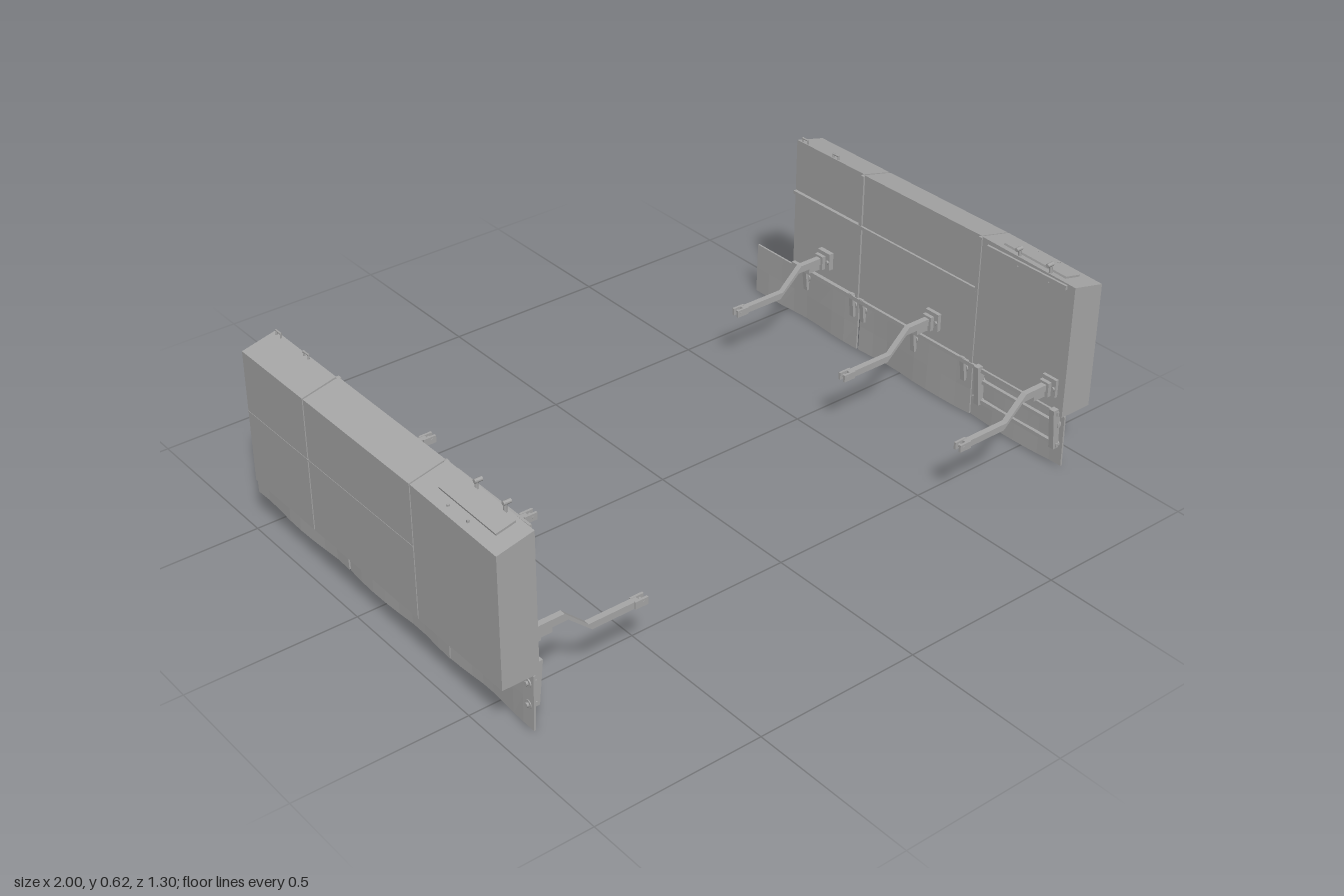
import * as THREE from 'three';

const grey = new THREE.MeshStandardMaterial({ color: 0xa6a6a6 });
grey.name = 'plain grey';

// Builds one side; s is +1 for the left assembly and -1 for the right
function createSide(s) {
  const side = new THREE.Group();
  side.name = s > 0 ? 'leftArmour' : 'rightArmour';

  const add = (name, geo, x = 0, y = 0, z = 0) => {
    const m = new THREE.Mesh(geo, grey);
    m.name = name;
    m.position.set(s * x, y, z);
    side.add(m);
    return m;
  };
  const box = (name, x0, x1, y0, y1, z0, z1) =>
    add(name, new THREE.BoxGeometry(x1 - x0, y1 - y0, z1 - z0), (x0 + x1) / 2, (y0 + y1) / 2, (z0 + z1) / 2);
  // Outline in x and y, extruded along z
  const prism = (name, pts, z0, z1) => {
    const shape = new THREE.Shape(pts.map(([x, y]) => new THREE.Vector2(s * x, y)));
    const geo = new THREE.ExtrudeGeometry(shape, { depth: z1 - z0, bevelEnabled: false });
    return add(name, geo, 0, 0, z0);
  };
  const rod = (name, r, len, x, y, z, axis = 'x', sides = 12) => {
    const geo = new THREE.CylinderGeometry(r, r, len, sides);
    if (axis === 'x') geo.rotateZ(Math.PI / 2);
    if (axis === 'z') geo.rotateX(Math.PI / 2);
    return add(name, geo, x, y, z);
  };

  // Large box panels with a sloping top
  const panels = [['frontPanel', 0.3, 0.65, 0.892], ['middlePanel', -0.179, 0.296, 0.894], ['rearPanel', -0.477, -0.184, 0.898]];
  for (const [name, z0, z1, inner] of panels) {
    const panel = prism(name, [[inner, 0.178], [1, 0.178], [1, 0.575], [inner, 0.6]], z0, z1);
    if (name === 'frontPanel') {
      const p = panel.geometry.attributes.position;
      for (let i = 0; i < p.count; i++) {
        if (p.getY(i) > 0.5) p.setY(i, p.getY(i) - 0.03 * p.getZ(i));
      }
      panel.geometry.computeVertexNormals();
    }
  }
  // Seams and inner stiffeners
  box('outerSeam', 0.998, 1.001, 0.391, 0.395, -0.477, 0.296);
  box('innerStiffener', 0.887, 0.9, 0.425, 0.435, -0.475, 0.296);
  for (const z of [0.298, -0.1815]) box('jointStrip', 0.888, 0.9, 0.18, 0.598, z - 0.006, z + 0.006);
  box('lowerRail', 0.885, 0.9, 0.18, 0.193, -0.47, 0.64);

  // Thin, gently bent skirt plates
  const skirts = [['frontSkirt', 0.296, 0.65, 0.01, 0.175], ['middleSkirt', -0.176, 0.292, 0.008, 0.172], ['rearSkirt', -0.65, -0.185, 0.006, 0.17]];
  for (const [name, z0, z1, y0, y1] of skirts) {
    const geo = new THREE.BoxGeometry(0.006, y1 - y0, z1 - z0, 1, 2, 8);
    const p = geo.attributes.position;
    for (let i = 0; i < p.count; i++) {
      const low = 0.5 - p.getY(i) / (y1 - y0);
      const wave = Math.sin((p.getZ(i) + z0) * 17) * 0.004 * low;
      p.setX(i, p.getX(i) + s * wave);
      p.setY(i, p.getY(i) + Math.abs(wave) * 0.5);
    }
    const flat = geo.toNonIndexed();
    flat.computeVertexNormals();
    add(name, flat, 0.907, (y0 + y1) / 2, (z0 + z1) / 2);
  }
  // Skirt bolts, hanger straps and the front mounting rails
  for (const z of [0.628, 0.335]) {
    for (const y of [0.145, 0.08]) {
      rod('skirtWasher', 0.013, 0.014, 0.907, y, z);
      rod('skirtBolt', 0.007, 0.026, 0.907, y, z, 'x', 6);
    }
    prism('skirtBracket', [[0.872, 0.2], [0.9, 0.2], [0.904, 0.07], [0.885, 0.07]], z - 0.009, z + 0.009);
  }
  for (const y of [0.145, 0.08]) box('skirtRail', 0.893, 0.904, y - 0.006, y + 0.006, 0.31, 0.64);
  for (const z of [0.265, 0.058, -0.16, -0.205, -0.415]) {
    rod('hangerWasher', 0.013, 0.014, 0.907, 0.155, z);
    rod('hangerBolt', 0.007, 0.026, 0.907, 0.155, z, 'x', 6);
    prism('hangerStrap', [[0.886, 0.195], [0.902, 0.195], [0.904, 0.115], [0.895, 0.115]], z - 0.008, z + 0.008);
  }

  // Cranked support arms with a mounting flange and forked end
  const crank = [[0.9, 0.277], [0.785, 0.277], [0.715, 0.212], [0.56, 0.212], [0.56, 0.192], [0.705, 0.192], [0.775, 0.255], [0.9, 0.255]];
  for (const z of [0.6, 0.14, -0.325]) {
    prism('supportArm', crank, z - 0.009, z + 0.009);
    box('armFlange', 0.882, 0.9, 0.235, 0.29, z - 0.026, z + 0.026);
    box('armCollar', 0.862, 0.874, 0.24, 0.284, z - 0.017, z + 0.017);
    box('armGusset', 0.82, 0.89, 0.238, 0.257, z - 0.006, z + 0.006);
    for (const d of [-1, 1]) {
      box('armFork', 0.535, 0.575, 0.191, 0.213, z + d * 0.0095 - 0.0035, z + d * 0.0095 + 0.0035);
      rod('flangeBolt', 0.006, 0.008, 0.88, 0.262, z + d * 0.019, 'x', 6);
    }
    rod('forkPin', 0.005, 0.028, 0.548, 0.202, z, 'z');
  }

  // Lifting hooks, inner handrail and top plate on the front panel
  for (const z of [0.55, 0.435]) {
    rod('liftingHook', 0.005, 0.05, 0.902, 0.595, z, 'y', 8);
    rod('hookTip', 0.006, 0.022, 0.897, 0.616, z, 'x', 8);
    box('hookFoot', 0.882, 0.905, 0.57, 0.585, z - 0.012, z + 0.012);
  }
  box('handrail', 0.882, 0.889, 0.575, 0.588, 0.33, 0.625);
  const plate = box('topPlate', 0.907, 0.965, 0.588, 0.594, 0.37, 0.6);
  plate.rotation.set(0.03, 0, -s * 0.23);
  for (const z of [0.43, 0.51]) rod('topBolt', 0.004, 0.01, 0.979, 0.575, z, 'y', 6);

  // Small grab handles on the rear panel
  for (const z of [-0.314, -0.449]) {
    for (const d of [-0.011, 0.011]) rod('handlePost', 0.003, 0.02, 0.905, 0.602, z + d, 'y', 8);
    rod('handleBar', 0.003, 0.026, 0.905, 0.61, z, 'z', 8);
  }
  return side;
}

export function createModel() {
  const model = new THREE.Group();
  model.name = 'sideArmourPanels';
  for (const s of [1, -1]) model.add(createSide(s));
  return model;
}
